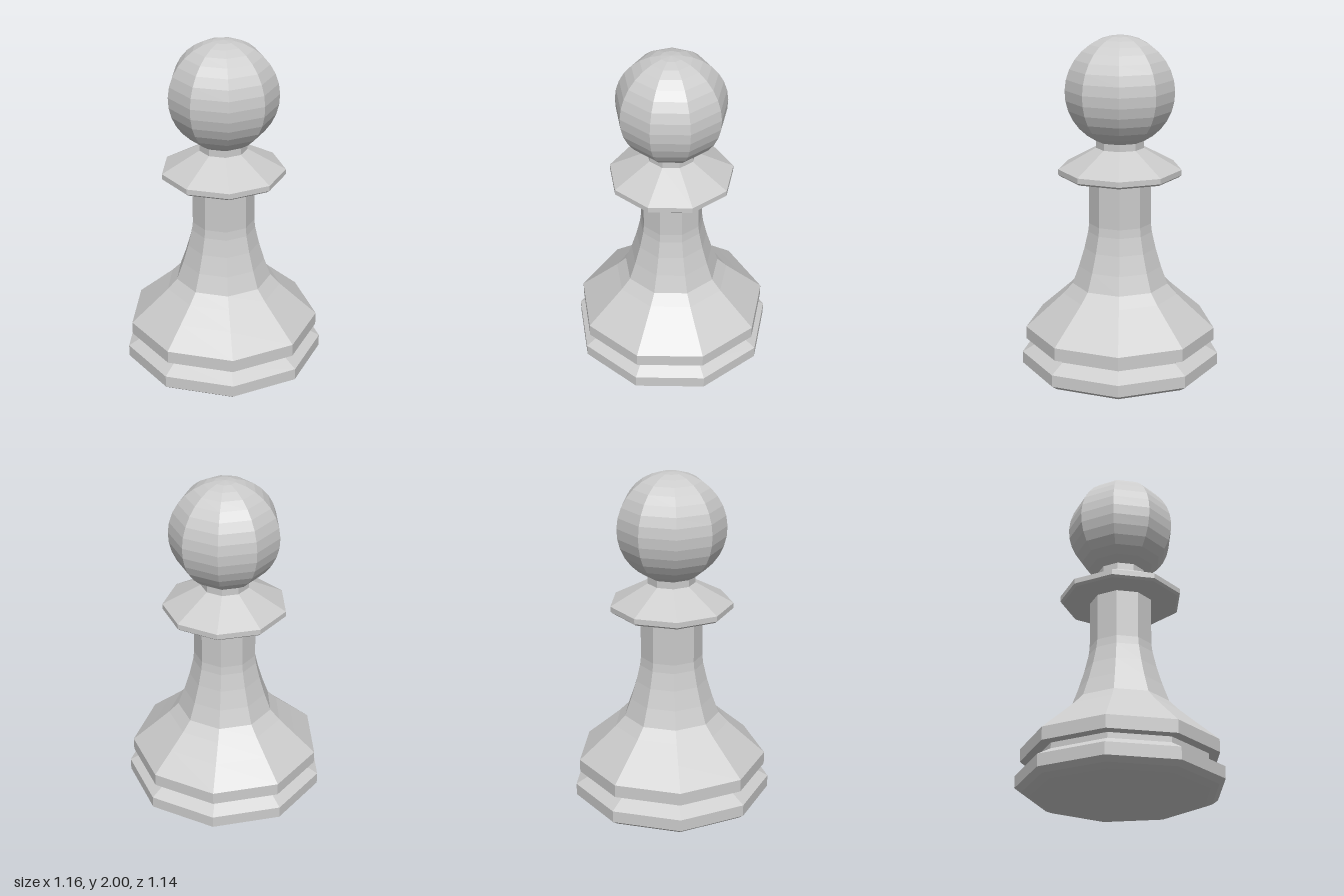
import * as THREE from 'three';

const SIDES = 9;
const AXIS_Z = 0.018; // a corner faces back, a flat faces front

const material = new THREE.MeshStandardMaterial({ color: 0xcccccc, flatShading: true });

// Turned part from [radius, height] pairs, listed bottom to top
function turned(name, profile) {
  const points = profile.map(([r, y]) => new THREE.Vector2(r, y));
  const mesh = new THREE.Mesh(new THREE.LatheGeometry(points, SIDES, Math.PI), material);
  mesh.name = name;
  mesh.position.z = AXIS_Z;
  return mesh;
}

export function createModel() {
  const group = new THREE.Group();
  group.name = 'pawn';

  // Foot with rounded underside and sloping top, up to the groove
  group.add(turned('foot', [
    [0, 0], [0.44, 0], [0.505, 0.014], [0.553, 0.034], [0.588, 0.06],
    [0.588, 0.13], [0.5, 0.18], [0.5, 0.212],
  ]));

  // Flared body rising into a straight stem
  group.add(turned('body', [
    [0.5, 0.212], [0.563, 0.212], [0.563, 0.287], [0.435, 0.4], [0.34, 0.485],
    [0.283, 0.545], [0.245, 0.65], [0.212, 0.76], [0.189, 0.86], [0.183, 0.91],
    [0.183, 1.195],
  ]));

  // Collar with a thin rim, and the short neck
  group.add(turned('collar', [
    [0.183, 1.195], [0.345, 1.195], [0.36, 1.207], [0.36, 1.238],
    [0.14, 1.358], [0.14, 1.4],
  ]));

  // Ball head, cut open where it meets the neck
  const radius = 0.317, centreY = 2 - radius, bands = 14;
  const start = Math.asin(0.14 / radius);
  const head = [];
  for (let i = 0; i <= bands; i++) {
    const a = start + (Math.PI - start) * (i / bands);
    head.push([i === bands ? 0 : radius * Math.sin(a), centreY - radius * Math.cos(a)]);
  }
  group.add(turned('head', head));

  return group;
}
